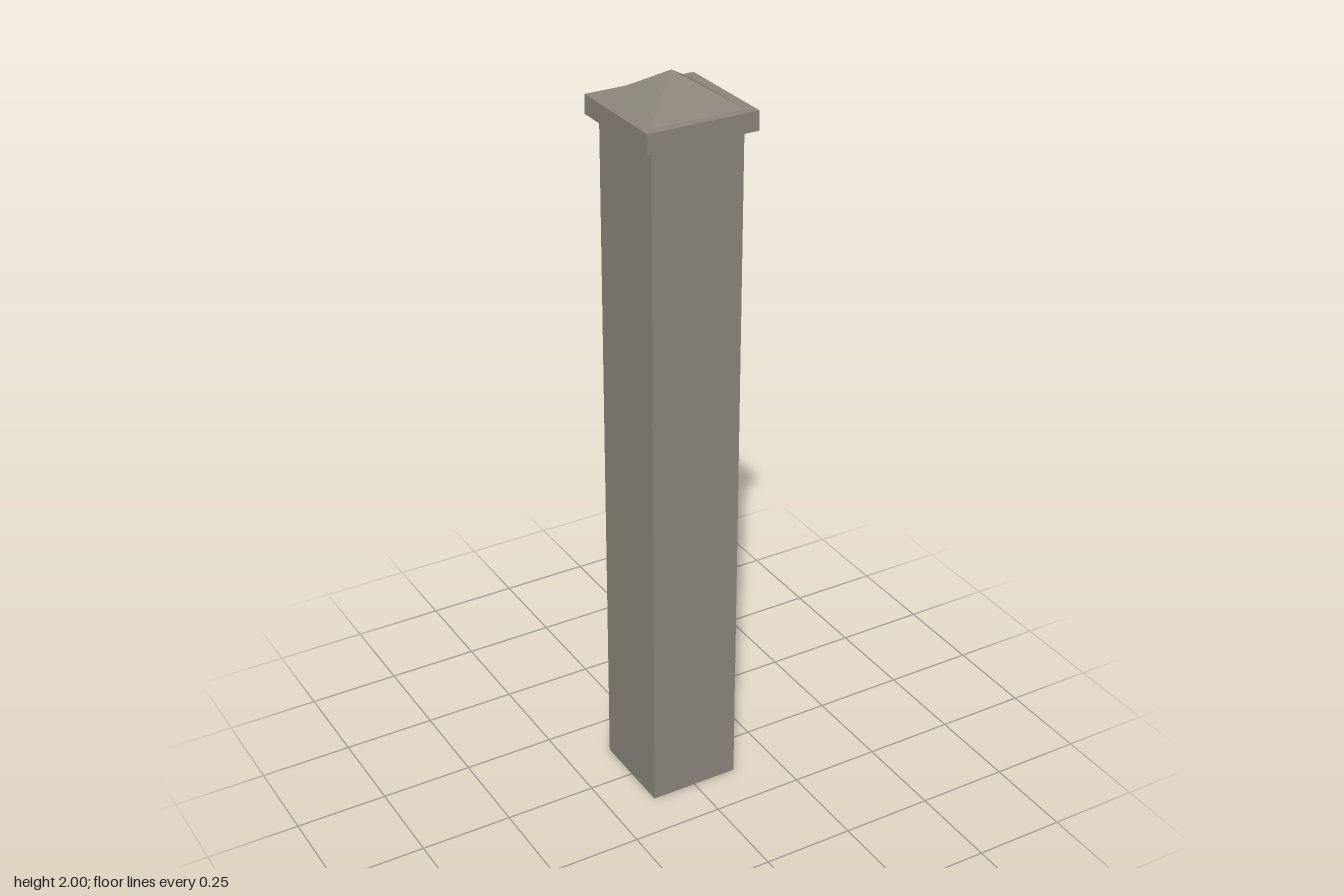
import * as THREE from 'three';

export function createModel() {
  const stone = new THREE.MeshStandardMaterial({ color: 0x8a847a, side: THREE.DoubleSide });
  stone.name = 'warm grey stone';
  const post = new THREE.Group();
  post.name = 'post';

  // Four-sided, flat-faced prism or pyramid without ends, sides facing x and z
  function squareTube(bottomHalf, topHalf, height) {
    const g = new THREE.CylinderGeometry(
      topHalf * Math.SQRT2, bottomHalf * Math.SQRT2, height, 4, 1, true
    ).rotateY(Math.PI / 4).toNonIndexed();
    g.computeVertexNormals();
    return g;
  }

  function add(name, geometry, bottom, height) {
    const mesh = new THREE.Mesh(geometry, stone);
    mesh.name = name;
    mesh.position.y = bottom + height / 2;
    post.add(mesh);
  }

  // Hollow shaft, open at the foot
  add('shaft', squareTube(0.125, 0.125, 1.87), 0, 1.87);
  // Overhanging slab
  add('capSlab', new THREE.BoxGeometry(0.3, 0.05, 0.3), 1.87, 0.05);
  // Pointed top
  add('capPyramid', squareTube(0.125, 0, 0.08), 1.92, 0.08);

  return post;
}
